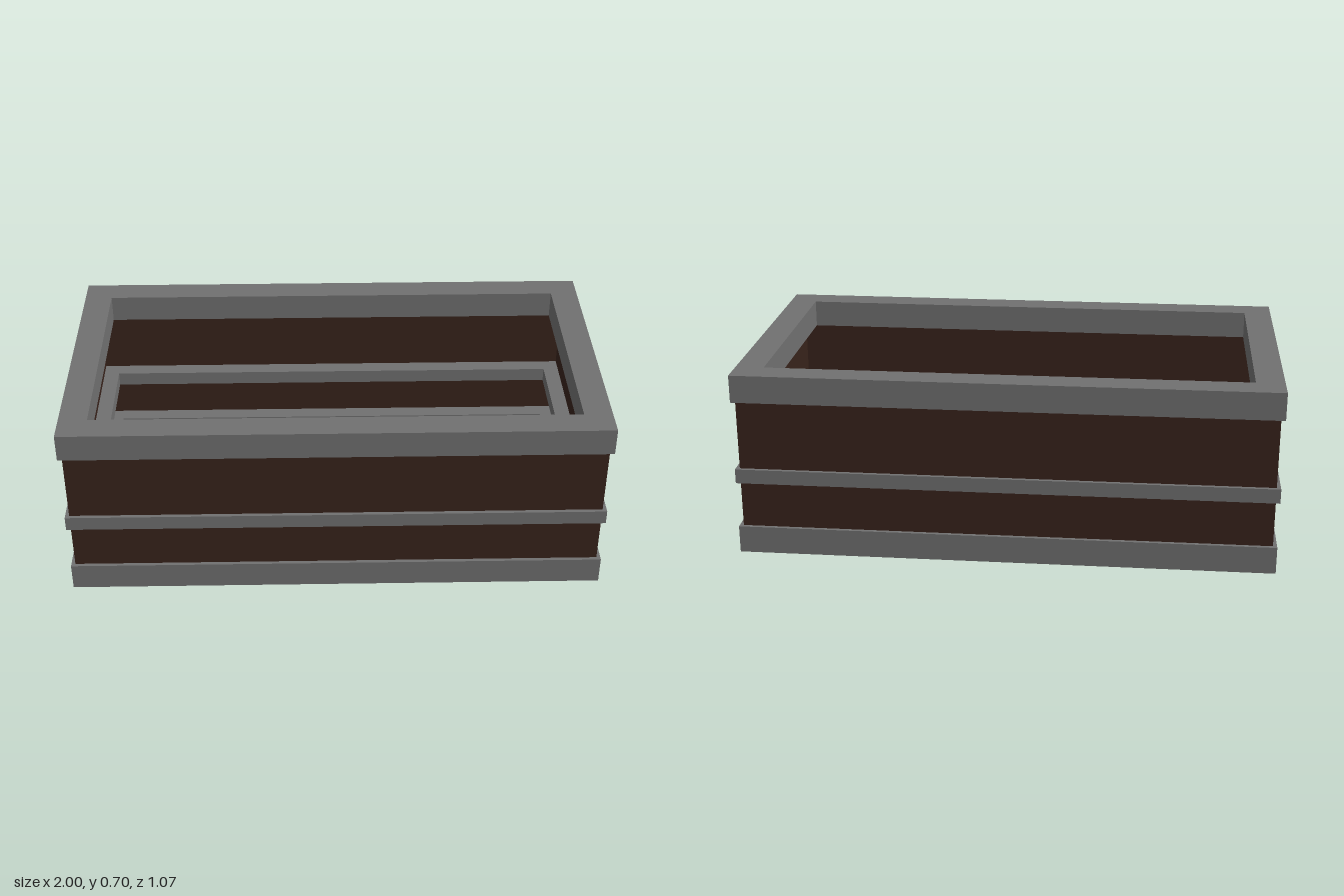
import * as THREE from 'three';

const grey = new THREE.MeshStandardMaterial({ color: 0x717171 });
const brown = new THREE.MeshStandardMaterial({ color: 0x38231b });

// Rectangular ring: outer and inner half sizes in x and z, between two heights
function frame(name, [ox, oz], [ix, iz], y0, y1, material) {
  const shape = new THREE.Shape([[-ox, -oz], [ox, -oz], [ox, oz], [-ox, oz]].map(p => new THREE.Vector2(...p)));
  shape.holes.push(new THREE.Path([[-ix, -iz], [-ix, iz], [ix, iz], [ix, -iz]].map(p => new THREE.Vector2(...p))));
  const geometry = new THREE.ExtrudeGeometry(shape, { depth: y1 - y0, bevelEnabled: false });
  geometry.rotateX(-Math.PI / 2).translate(0, y0, 0);
  const mesh = new THREE.Mesh(geometry, material);
  mesh.name = name;
  return mesh;
}

export function createModel() {
  const crate = new THREE.Group();
  crate.name = 'openCrate';
  const outer = [1, 0.537], inner = [0.895, 0.434];

  // Grey bands around the base, middle and rim
  [['baseBand', 0, 0.104], ['middleBand', 0.28, 0.335], ['rimBand', 0.598, 0.702]].forEach(
    ([name, y0, y1]) => crate.add(frame(name, outer, inner, y0, y1, grey)));

  // Thin side walls set into the bands
  crate.add(frame('walls', [0.985, 0.523], [0.955, 0.494], 0.025, 0.68, brown));

  // Floor panel, slightly raised above the underside
  const floor = new THREE.Mesh(new THREE.BoxGeometry(1.91, 0.03, 0.988), brown);
  floor.name = 'floor';
  floor.position.y = 0.04;
  crate.add(floor);

  return crate;
}
